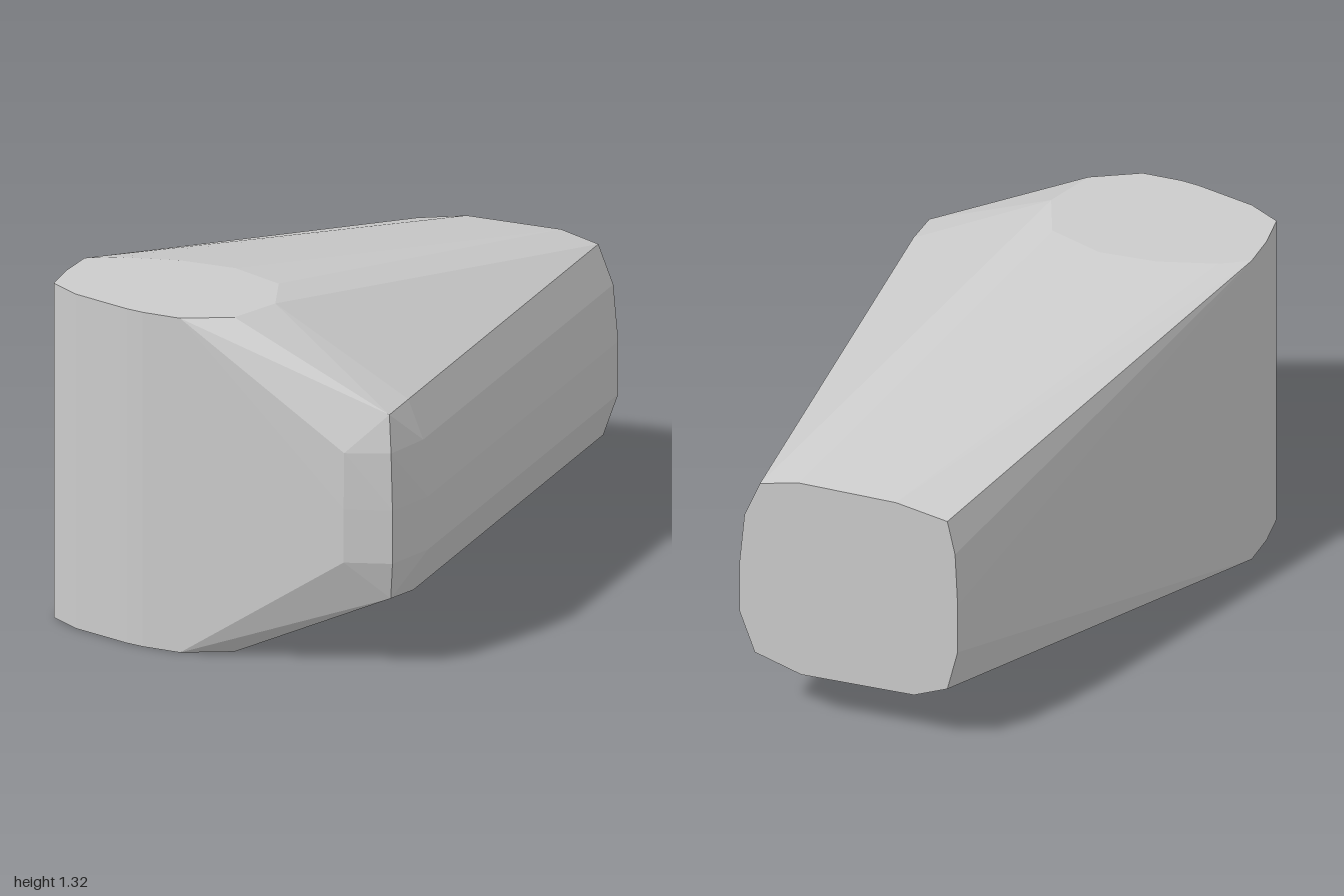
import * as THREE from 'three';
import { ConvexGeometry } from 'three/addons/geometries/ConvexGeometry.js';

// Outline [x, z] of the upright rounded column, shared by its top and bottom
const column = [
  [-0.72, 0.58], [-0.73, 0.72], [-0.72, 0.86], [-0.6, 0.93], [-0.37, 0.99], [-0.3, 1], [-0.15, 1],
  [0.03, 0.91], [0.11, 0.72], [0.04, 0.53], [-0.17, 0.45], [-0.39, 0.46], [-0.61, 0.52],
];

// Left edge [x, y] of the long arm, which runs straight from back to front
const armSide = [[0.65, 1.03], [0.71, 0.88], [0.73, 0.66], [0.73, 0.45], [0.67, 0.28]];

// Rest of the flat back end [x, y]
const backEnd = [
  [0.5, 1.065], [0.12, 1.06], [-0.08, 1.02], [-0.11, 0.88],
  [-0.12, 0.66], [-0.12, 0.45], [-0.08, 0.28], [0.05, 0.225], [0.49, 0.22],
];

// Rounded nose of the arm [x, y, z]
const nose = [
  [0.64, 1.02, 0.88], [0.66, 0.88, 0.91], [0.67, 0.66, 0.92], [0.67, 0.45, 0.92], [0.65, 0.3, 0.89],
  [0.5, 0.88, 0.975], [0.5, 0.66, 0.98], [0.5, 0.45, 0.98],
];

export function createModel() {
  const group = new THREE.Group();
  const points = [];
  const add = (x, y, z) => points.push(new THREE.Vector3(x, y, z));

  for (const [x, z] of column) for (const y of [0, 1.32]) add(x, y, z);
  for (const [x, y] of armSide) for (const z of [-1, 0.73]) add(x, y, z);
  for (const [x, y] of backEnd) add(x, y, -1);
  for (const p of nose) add(...p);

  // Column and arm wrapped in one faceted skin
  const body = new THREE.Mesh(
    new ConvexGeometry(points),
    new THREE.MeshStandardMaterial({ color: 0xcccccc, flatShading: true }),
  );
  body.name = 'wedgeBody';
  group.add(body);
  return group;
}
